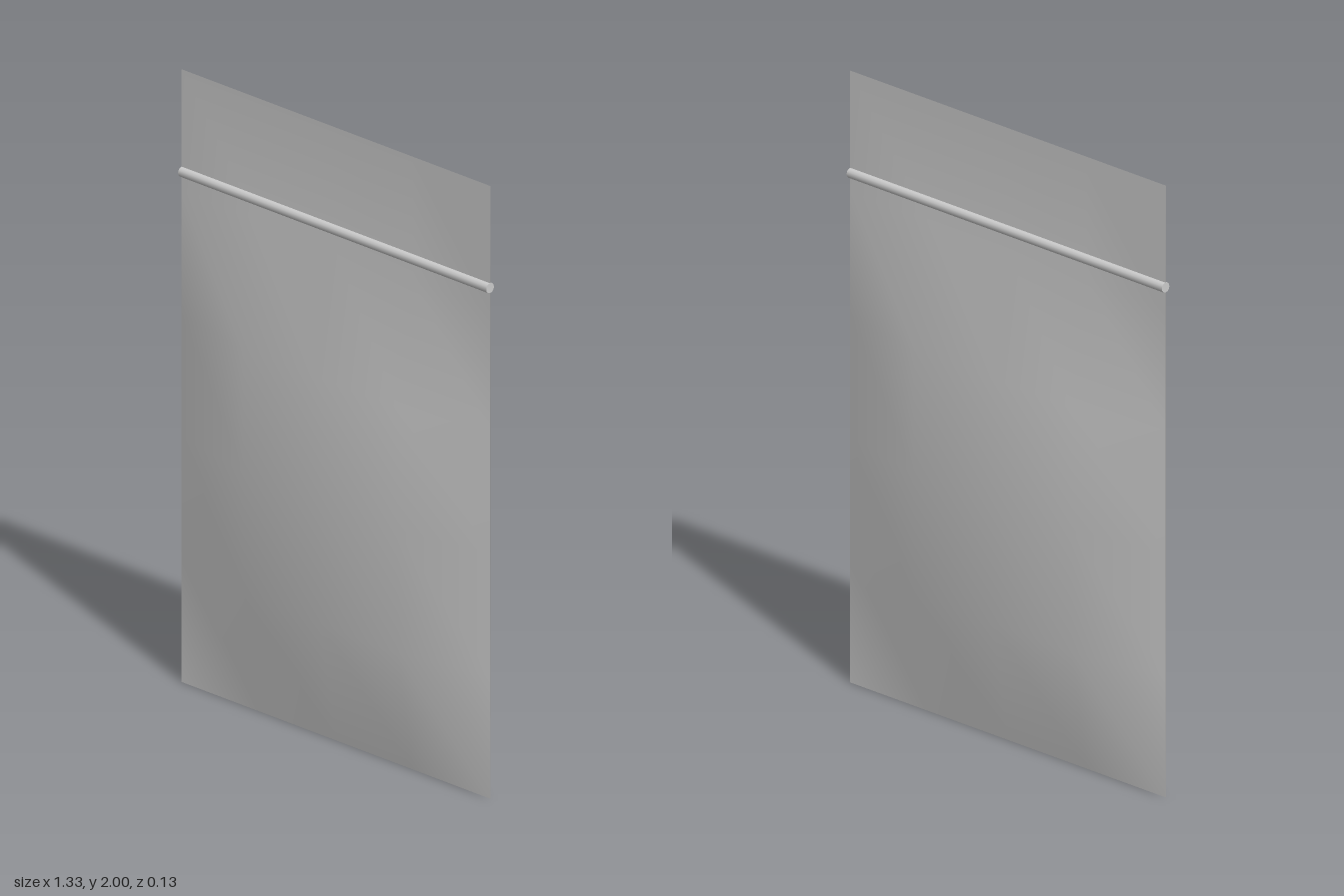
import * as THREE from 'three';

const WIDTH = 4 / 3, HEIGHT = 2, BULGE = 0.066, GAP = 0.001;

// One wall of the pouch: a 4 x 5 grid whose filled inner points are pushed out.
// It is laid on its side and turned upright so the cells split from top left to bottom right.
function createWall() {
  const geometry = new THREE.PlaneGeometry(HEIGHT, WIDTH, 5, 4);
  geometry.rotateZ(Math.PI / 2);
  geometry.translate(0, HEIGHT / 2, GAP);
  const p = geometry.attributes.position;
  for (let i = 0; i < p.count; i++) {
    const inside = Math.abs(p.getX(i)) < 0.5 && p.getY(i) > 0.2 && p.getY(i) < 1.4;
    if (inside) p.setZ(i, GAP + BULGE);
  }
  geometry.computeVertexNormals();
  return geometry;
}

export function createModel() {
  const group = new THREE.Group();
  group.name = 'zipPouch';
  const material = new THREE.MeshStandardMaterial({ color: 0xcccccc });
  const sheetMaterial = new THREE.MeshStandardMaterial({ color: 0xcccccc, side: THREE.DoubleSide });

  // Front and back walls, meeting along their edges and the top strip
  const wall = createWall();
  ['frontWall', 'backWall'].forEach((name, i) => {
    const mesh = new THREE.Mesh(wall, sheetMaterial);
    mesh.name = name;
    mesh.rotation.y = i * Math.PI;
    group.add(mesh);
  });

  // Closure bar across the full width
  const bar = new THREE.Mesh(new THREE.CylinderGeometry(0.0165, 0.0165, WIDTH, 12), material);
  bar.name = 'closureBar';
  bar.rotation.z = Math.PI / 2;
  bar.position.y = 1.667;
  group.add(bar);

  return group;
}
